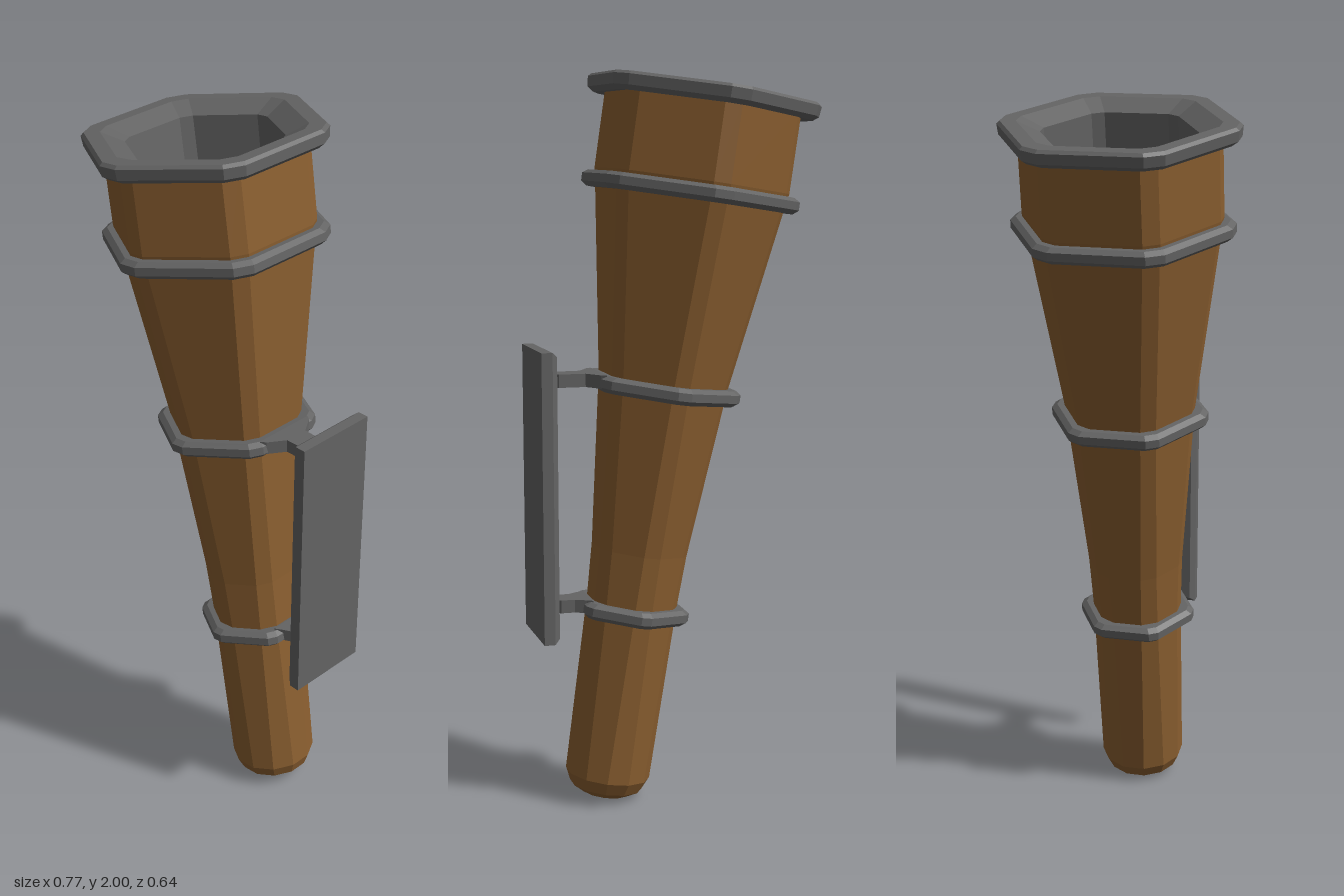
import * as THREE from 'three';

const wood = new THREE.MeshStandardMaterial({ color: 0x8b5f30, flatShading: true });
const iron = new THREE.MeshStandardMaterial({ color: 0x646464, flatShading: true });

const TILT = 0.147;

// Hexagon ring with cut corners: flat distance a, half corner angle d (15 = regular 12-gon)
function ring(s, a, d) {
  const pts = [];
  const r = a / Math.cos(THREE.MathUtils.degToRad(30 - d));
  for (let k = 0; k < 6; k++) {
    for (const sign of [-1, 1]) {
      const t = THREE.MathUtils.degToRad(30 + 60 * k + sign * d);
      pts.push([r * Math.cos(t), s, r * Math.sin(t)]);
    }
  }
  return pts;
}

// Skin consecutive rings, given as [height, flat distance, corner angle]
function loft(profile) {
  const rings = profile.map(([s, a, d = 5]) => ring(s, a, d));
  const pos = [];
  for (let i = 0; i < rings.length - 1; i++) {
    for (let j = 0; j < 12; j++) {
      const k = (j + 1) % 12;
      const a = rings[i][j], b = rings[i][k], c = rings[i + 1][j], d = rings[i + 1][k];
      pos.push(...a, ...c, ...b, ...b, ...c, ...d);
    }
  }
  const g = new THREE.BufferGeometry();
  g.setAttribute('position', new THREE.Float32BufferAttribute(pos, 3));
  g.computeVertexNormals();
  return g;
}

function add(parent, name, geometry, material) {
  const mesh = new THREE.Mesh(geometry, material);
  mesh.name = name;
  parent.add(mesh);
  return mesh;
}

export function createModel() {
  const model = new THREE.Group();
  model.name = 'wallTorch';

  // Leaning torch, built along its own axis
  const torch = new THREE.Group();
  torch.name = 'torch';
  torch.position.set(0.19, 0.01, 0);
  torch.rotation.z = TILT;
  model.add(torch);

  // Wooden shaft, round at the foot and hexagonal at the head
  add(torch, 'shaft', loft([
    [0, 0, 15], [0, 0.065, 15], [0.02, 0.098, 15], [0.055, 0.114, 15],
    [0.55, 0.119, 11], [0.7, 0.125, 10], [1.17, 0.165, 7],
    [1.69, 0.238, 5], [1.72, 0.243, 5], [1.94, 0.243, 5],
  ]), wood);

  // Rim with sunken cup
  add(torch, 'rimCup', loft([
    [1.925, 0.23], [1.92, 0.272], [1.932, 0.287], [1.96, 0.29], [1.968, 0.282],
    [1.968, 0.243], [1.94, 0.187], [1.81, 0.185], [1.81, 0],
  ]), iron);

  // Bevelled iron bands
  const bands = [[1.69, 0.272, 0.225], [1.153, 0.197, 0.15], [0.53, 0.148, 0.11]];
  bands.forEach(([s, outer, inner], i) => {
    add(torch, 'band' + (i + 1), loft([
      [s - 0.022, inner], [s - 0.022, outer - 0.014], [s - 0.01, outer],
      [s + 0.012, outer], [s + 0.022, outer - 0.014], [s + 0.022, inner],
    ]), iron);
  });

  // Arms flaring out of the two lower bands
  for (const [name, x, y, flare] of [['upperArm', 0.2, 1.165, 0.09], ['lowerArm', 0.235, 0.543, 0.06]]) {
    const half = [[x, flare], [x + 0.015, flare - 0.01], [x + 0.045, 0.034], [0.318, 0.032], [0.343, 0.012]];
    const outline = [...half, ...half.map(([px, pz]) => [px, -pz]).reverse()];
    const shape = new THREE.Shape(outline.map(([px, pz]) => new THREE.Vector2(px, pz)));
    const g = new THREE.ExtrudeGeometry(shape, { depth: 0.036, bevelEnabled: false });
    g.rotateX(-Math.PI / 2);
    add(model, name, g, iron).position.y = y;
  }

  // Wall plate, its edges chamfered toward the torch
  const plate = new THREE.BoxGeometry(0.045, 0.79, 0.236, 3, 1, 1);
  const p = plate.attributes.position;
  for (let i = 0; i < p.count; i++) {
    if (p.getX(i) < -0.02) {
      p.setY(i, p.getY(i) - Math.sign(p.getY(i)) * 0.013);
      p.setZ(i, p.getZ(i) - Math.sign(p.getZ(i)) * 0.013);
    }
  }
  plate.computeVertexNormals();
  add(model, 'wallPlate', plate, iron).position.set(0.3625, 0.875, 0);

  return model;
}
